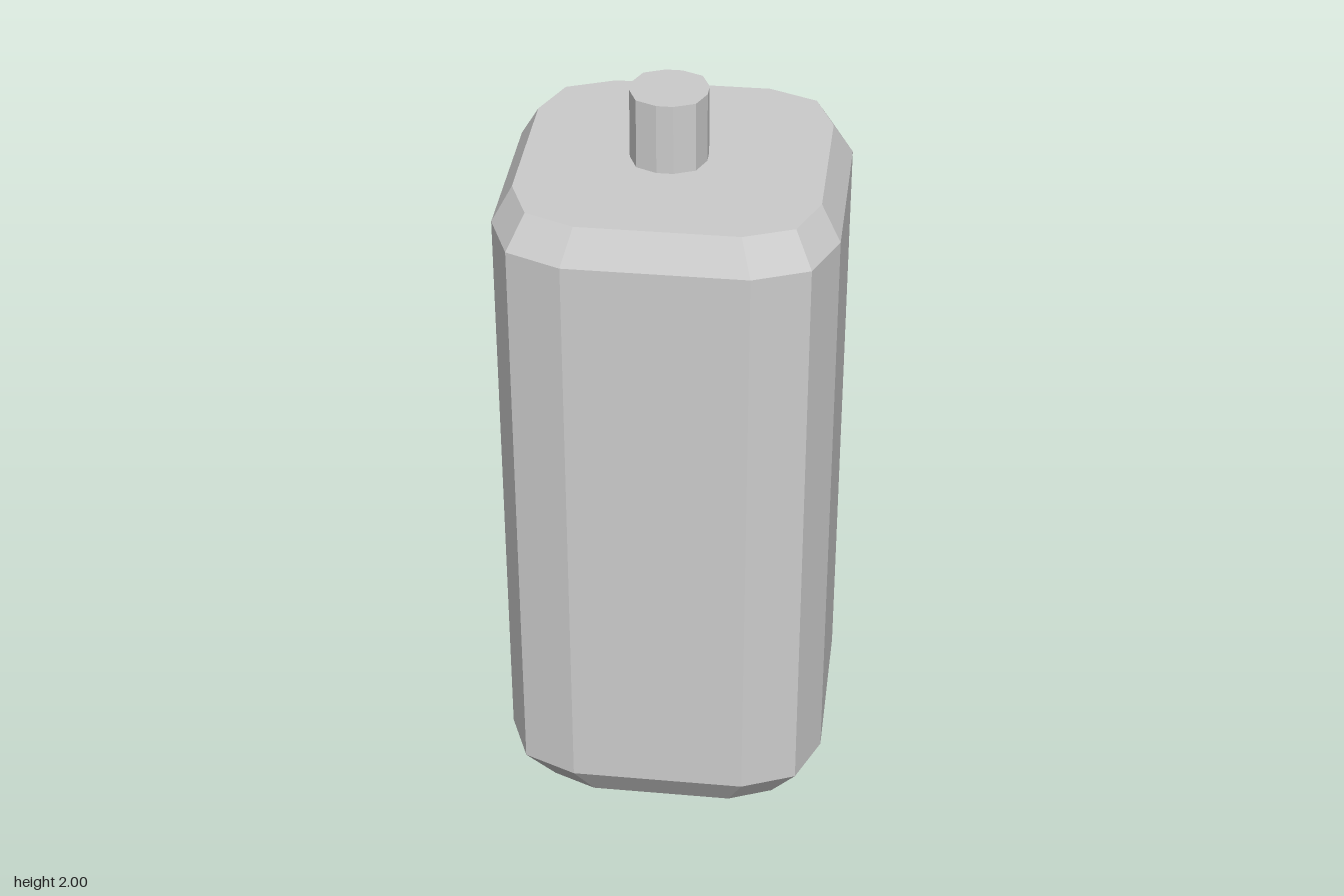
import * as THREE from 'three';

// Twelve-sided rounded square: flat side at a, corner at (c, c), side ends at b
function outline(a, c, b) {
  const points = [];
  const quarter = [[b, a], [c, c], [a, b]];
  for (let q = 0; q < 4; q++) {
    const cos = [1, 0, -1, 0][q], sin = [0, 1, 0, -1][q];
    for (const [x, z] of quarter) points.push([x * cos + z * sin, z * cos - x * sin]);
  }
  return points;
}

// Skin a stack of { y, points } sections from bottom to top, with flat caps
function loft(sections) {
  const n = sections[0].points.length;
  const positions = [], index = [];
  for (const { y, points } of sections) for (const [x, z] of points) positions.push(x, y, z);
  for (let s = 0; s < sections.length - 1; s++) {
    for (let i = 0; i < n; i++) {
      const a = s * n + i, b = s * n + (i + 1) % n;
      index.push(a, b, b + n, a, b + n, a + n);
    }
  }
  const top = (sections.length - 1) * n;
  for (let i = 1; i < n - 1; i++) {
    index.push(0, i + 1, i);
    index.push(top, top + i, top + i + 1);
  }
  const indexed = new THREE.BufferGeometry();
  indexed.setAttribute('position', new THREE.Float32BufferAttribute(positions, 3));
  indexed.setIndex(index);
  const geometry = indexed.toNonIndexed();
  geometry.computeVertexNormals();
  return geometry;
}

export function createModel() {
  const model = new THREE.Group();
  model.name = 'canister';
  const grey = new THREE.MeshStandardMaterial({ color: 0xcccccc });
  grey.name = 'light grey';

  // Body with bevelled base and shoulder
  const side = outline(0.429, 0.37, 0.229);
  const body = new THREE.Mesh(loft([
    { y: 0, points: outline(0.35, 0.302, 0.187) },
    { y: 0.12, points: side },
    { y: 1.727, points: side },
    { y: 1.815, points: outline(0.379, 0.327, 0.202) },
  ]), grey);
  body.name = 'body';
  model.add(body);

  // Slightly off-centre stem on top
  const round = outline(0.097, 0.074, 0.021);
  const stem = new THREE.Mesh(loft([
    { y: 1.81, points: round },
    { y: 2, points: round },
  ]), grey);
  stem.name = 'stem';
  stem.position.x = -0.016;
  model.add(stem);

  return model;
}
